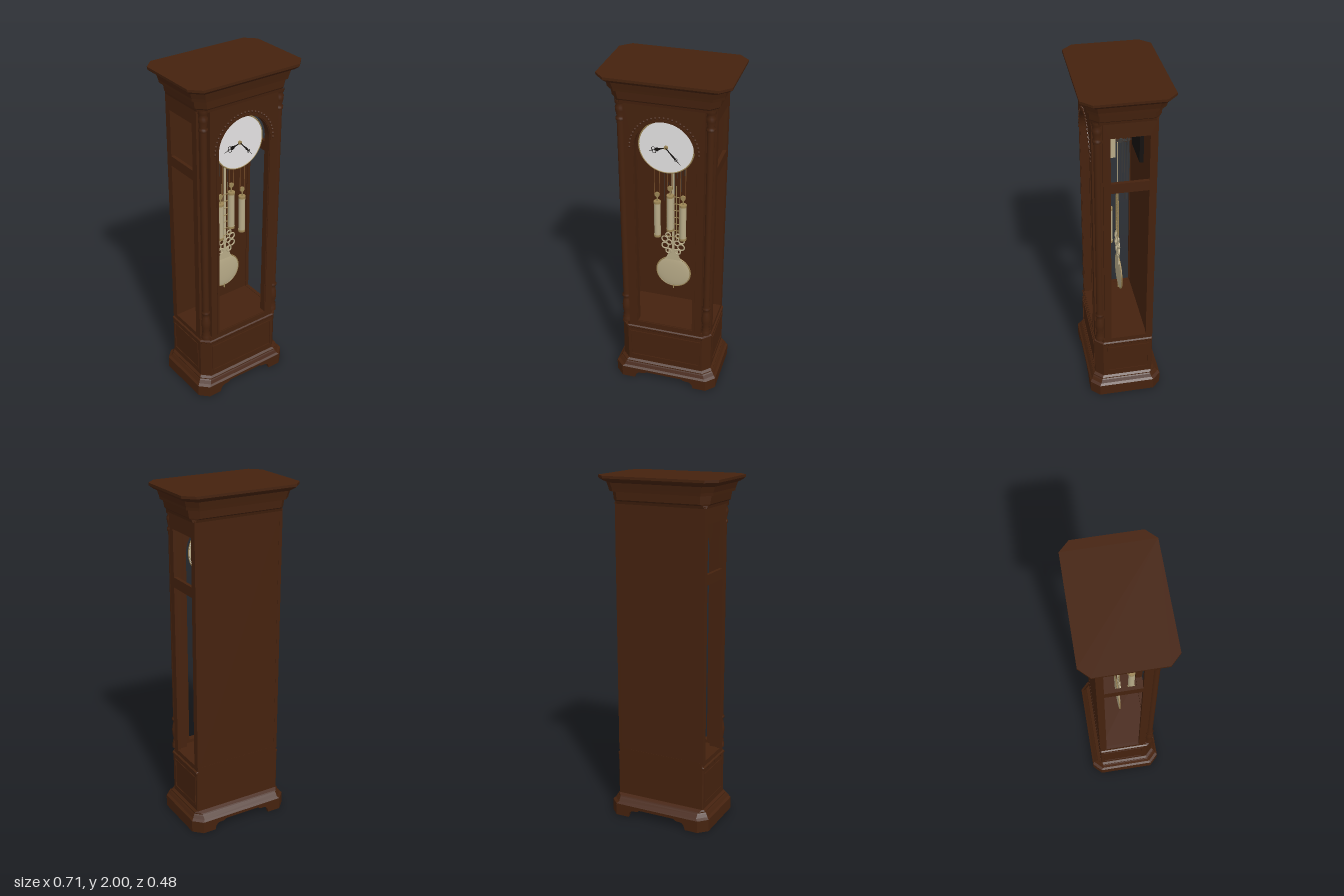
import * as THREE from 'three';
import { mergeGeometries } from 'three/addons/utils/BufferGeometryUtils.js';

const mat = (name, color) => Object.assign(new THREE.MeshStandardMaterial({ color }), { name });

export function createModel() {
  const wood = mat('dark walnut', 0x45220e);
  const brass = mat('pale brass', 0xb8ab88);
  const gold = mat('aged gold', 0x9c8656);
  const white = mat('dial white', 0xe4e2e3);
  const black = mat('black', 0x14110f);
  const steel = mat('dark steel', 0x3c3a38);
  const copper = mat('copper cable', 0x7a4f2a);

  const root = new THREE.Group();
  root.name = 'longcaseClock';
  const add = (name, geo, material, x = 0, y = 0, z = 0, parent = root) => {
    const m = new THREE.Mesh(geo, material);
    m.name = name;
    m.position.set(x, y, z);
    parent.add(m);
    return m;
  };
  // Box given by its limits
  const box = (name, m, x0, x1, y0, y1, z0, z1, parent) =>
    add(name, new THREE.BoxGeometry(x1 - x0, y1 - y0, z1 - z0), m,
      (x0 + x1) / 2, (y0 + y1) / 2, (z0 + z1) / 2, parent);
  const rod = (name, m, r, x, y0, y1, z, parent, sides = 8) =>
    add(name, new THREE.CylinderGeometry(r, r, y1 - y0, sides), m, x, (y0 + y1) / 2, z, parent);
  const extrude = (shape, depth, curveSegments = 24) =>
    new THREE.ExtrudeGeometry(shape, { depth, bevelEnabled: false, curveSegments });
  const rect = (C, x0, y0, x1, y1) => new C([[x0, y0], [x1, y0], [x1, y1], [x0, y1]].map(p => new THREE.Vector2(...p)));

  // Stack of chamfered rectangles: [y, halfWidth, front, back, frontChamfer, backChamfer]
  const moulding = (layers) => {
    const ring = ([y, x, f, b, c, d]) => [[x - c, f], [x, f - c], [x, d - b], [x - d, -b],
      [d - x, -b], [-x, d - b], [-x, f - c], [c - x, f]].map(p => [p[0], y, p[1]]);
    const rings = layers.map(ring), v = [];
    for (let i = 0; i + 1 < rings.length; i++) for (let k = 0; k < 8; k++) {
      const n = (k + 1) % 8, a = rings[i][k], b = rings[i][n], c = rings[i + 1][n], d = rings[i + 1][k];
      v.push(...a, ...b, ...c, ...a, ...c, ...d);
    }
    const lo = rings[0], hi = rings[rings.length - 1];
    for (let k = 1; k < 7; k++) {
      v.push(...lo[0], ...lo[k + 1], ...lo[k]);
      v.push(...hi[0], ...hi[k], ...hi[k + 1]);
    }
    const g = new THREE.BufferGeometry();
    g.setAttribute('position', new THREE.Float32BufferAttribute(v, 3));
    g.computeVertexNormals();
    return g;
  };

  // Cornice, plinth and base mouldings
  add('cornice', moulding([
    [1.845, 0.275, 0.18, 0.16, 0.04, 0.01], [1.86, 0.278, 0.182, 0.165, 0.04, 0.02],
    [1.868, 0.288, 0.187, 0.178, 0.045, 0.04], [1.912, 0.295, 0.19, 0.182, 0.045, 0.045],
    [1.914, 0.31, 0.2, 0.2, 0.05, 0.05], [1.93, 0.312, 0.203, 0.203, 0.05, 0.05],
    [1.962, 0.322, 0.21, 0.21, 0.052, 0.052], [1.968, 0.335, 0.222, 0.222, 0.054, 0.054],
    [1.978, 0.348, 0.235, 0.235, 0.056, 0.056], [1.986, 0.356, 0.242, 0.242, 0.057, 0.057],
    [2.0, 0.357, 0.242, 0.242, 0.057, 0.057]]), wood);
  add('plinth', moulding([
    [0.11, 0.275, 0.18, 0.16, 0.045, 0.005], [0.365, 0.275, 0.18, 0.16, 0.045, 0.005],
    [0.37, 0.279, 0.183, 0.16, 0.045, 0.005], [0.38, 0.279, 0.183, 0.16, 0.045, 0.005],
    [0.385, 0.27, 0.175, 0.16, 0.045, 0.005], [0.41, 0.27, 0.175, 0.16, 0.045, 0.005]]), wood);
  add('baseMoulding', moulding([
    [0.06, 0.315, 0.215, 0.215, 0.05, 0.05], [0.072, 0.315, 0.215, 0.215, 0.05, 0.05],
    [0.082, 0.303, 0.205, 0.205, 0.05, 0.05], [0.1, 0.293, 0.196, 0.19, 0.048, 0.04],
    [0.106, 0.288, 0.192, 0.184, 0.047, 0.035], [0.112, 0.288, 0.192, 0.18, 0.047, 0.03],
    [0.122, 0.276, 0.181, 0.161, 0.045, 0.006]]), wood);

  // Base skirt with shaped cut-outs front and back
  const skirt = new THREE.Shape();
  skirt.moveTo(-0.265, 0);
  skirt.lineTo(-0.185, 0);
  skirt.quadraticCurveTo(-0.18, 0.045, -0.145, 0.043);
  skirt.quadraticCurveTo(-0.118, 0.043, -0.115, 0.055);
  skirt.lineTo(0.115, 0.055);
  skirt.quadraticCurveTo(0.118, 0.043, 0.145, 0.043);
  skirt.quadraticCurveTo(0.18, 0.045, 0.185, 0);
  skirt.lineTo(0.265, 0);
  skirt.lineTo(0.265, 0.062);
  skirt.lineTo(-0.265, 0.062);
  add('frontSkirt', extrude(skirt, 0.02, 8), wood, 0, 0, 0.195);
  add('backSkirt', extrude(skirt, 0.02, 8), wood, 0, 0, -0.215);
  for (const s of [-1, 1]) {
    box('sideSkirt', wood, s * 0.305 - 0.01, s * 0.305 + 0.01, 0, 0.062, -0.165, 0.165);
    for (const t of [-1, 1]) {
      const c = add('cornerSkirt', new THREE.BoxGeometry(0.0707, 0.062, 0.02), wood,
        s * 0.283, 0.031, t * 0.183);
      c.rotation.y = s * t * Math.PI / 4;
    }
  }

  // Picture-frame beading around a panel, lying in the xy plane
  const frame = (w, h, t) => {
    const s = rect(THREE.Shape, -w / 2, -h / 2, w / 2, h / 2);
    s.holes.push(rect(THREE.Path, t - w / 2, t - h / 2, w / 2 - t, h / 2 - t));
    return extrude(s, 0.006);
  };
  add('plinthPanelBeading', frame(0.44, 0.19, 0.01), wood, 0, 0.25, 0.179);
  for (const s of [-1, 1])
    add('sidePanelBeading', frame(0.25, 0.19, 0.008), wood, s * 0.273, 0.25, -0.015).rotation.y = s * Math.PI / 2;

  // Arched opening path, grown by an offset
  const cy = 1.595;
  const arch = (C, o) => {
    const r = 0.165 + o, p = new C();
    p.moveTo(-r, 0.43 - o);
    p.lineTo(r, 0.43 - o);
    p.lineTo(r, cy);
    p.absarc(0, cy, r, 0, Math.PI, false);
    p.lineTo(-r, 0.43 - o);
    return p;
  };
  const door = rect(THREE.Shape, -0.22, 0.4, 0.22, 1.85);
  door.holes.push(arch(THREE.Path, 0));
  add('door', extrude(door, 0.038), wood, 0, 0, 0.138);
  const bead = arch(THREE.Shape, 0.016);
  bead.holes.push(arch(THREE.Path, 0.004));
  add('doorBeading', extrude(bead, 0.006), wood, 0, 0, 0.175);
  const beads = [];
  for (let i = 0; i <= 26; i++) {
    const a = Math.PI * i / 26;
    beads.push(new THREE.SphereGeometry(0.007, 8, 6).translate(Math.cos(a) * 0.19, cy + Math.sin(a) * 0.19, 0.177));
  }
  add('archBeads', mergeGeometries(beads), wood);

  // Case: back, ceiling, windowed sides, corner posts
  box('backPanel', wood, -0.265, 0.265, 0.38, 1.86, -0.159, -0.125);
  box('ceiling', wood, -0.255, 0.255, 1.79, 1.85, -0.13, 0.14);
  const side = rect(THREE.Shape, -0.16, 0.4, 0.125, 1.855);
  side.holes.push(rect(THREE.Path, -0.12, 0.413, 0.085, 1.432), rect(THREE.Path, -0.12, 1.49, 0.085, 1.76));
  const sideGeo = extrude(side, 0.02).rotateY(-Math.PI / 2);
  // Turned corner column profile: radius, height
  const profile = [[0.026, 0.4], [0.026, 0.425], [0.02, 0.432], [0.024, 0.445], [0.018, 0.455], [0.025, 0.49],
    [0.026, 0.52], [0.02, 0.56], [0.016, 0.575], [0.025, 0.582], [0.025, 0.594], [0.019, 0.602], [0.019, 1.73],
    [0.025, 1.737], [0.025, 1.75], [0.018, 1.758], [0.025, 1.79], [0.026, 1.81], [0.019, 1.826], [0.027, 1.834], [0.027, 1.855]]
    .map(p => new THREE.Vector2(...p));
  const columnGeo = new THREE.LatheGeometry(profile, 20);
  for (const s of [-1, 1]) {
    add('sideFrame', sideGeo, wood, s > 0 ? 0.27 : -0.25);
    box('cornerPost', wood, s * 0.228 - 0.028, s * 0.228 + 0.028, 0.4, 1.855, 0.1, 0.14);
    add('cornerColumn', columnGeo, wood, s * 0.244, 0, 0.15);
  }

  // Dial and hands
  const disc = (r, d) => new THREE.CylinderGeometry(r, r, d, 64).rotateX(Math.PI / 2);
  add('dialBack', disc(0.15, 0.006), brass, 0, cy, 0.123);
  add('dialFace', disc(0.152, 0.006), white, 0, cy, 0.129);
  add('dialRim', new THREE.TorusGeometry(0.152, 0.004, 8, 64), gold, 0, cy, 0.13);
  add('dialBoss', disc(0.011, 0.008), gold, 0, cy, 0.136);
  const hand = (name, len, w, angle, z) => {
    const s = new THREE.Shape([[0, -0.002], [len * 0.3, -0.003], [len * 0.5, -w], [len * 0.62, -0.002], [len, 0],
      [len * 0.62, 0.002], [len * 0.5, w], [len * 0.3, 0.003], [0, 0.002]].map(p => new THREE.Vector2(...p)));
    const g = new THREE.Group();
    g.name = name;
    g.position.set(0, cy, z);
    g.rotation.z = angle;
    root.add(g);
    add('blade', extrude(s, 0.002), black, 0, 0, 0, g);
    for (const t of [-1, 1])
      add('scroll', new THREE.TorusGeometry(w * 0.8, 0.0015, 6, 14), black, len * 0.65, t * w * 0.7, 0.001, g);
  };
  hand('hourHand', 0.108, 0.012, Math.PI + 0.29, 0.137);
  hand('minuteHand', 0.127, 0.006, -0.84, 0.141);

  // Movement and chimes
  box('movement', brass, -0.065, 0.065, 1.525, 1.672, 0.022, 0.12);
  box('chimeBoard', black, -0.1, 0.1, 1.5, 1.76, -0.124, -0.102);
  box('chimeBlock', steel, -0.07, 0.07, 1.722, 1.752, -0.102, -0.015);
  for (let i = 0; i < 8; i++)
    rod('chimeRod', steel, 0.0018, -0.056 + i * 0.016, 1.17 + ((i * 3) % 8) * 0.033, 1.73, -0.022 - (i % 5) * 0.011, root, 6);
  for (const [x, y] of [[-0.03, 1.645], [0.03, 1.61], [0, 1.585]]) {
    box('hammerArm', steel, x - 0.002, x + 0.002, y - 0.002, y + 0.002, -0.07, 0.025);
    box('hammer', steel, x - 0.006, x + 0.006, y - 0.008, y + 0.008, -0.022, -0.005);
  }

  // Weights on cables
  for (const [x, y] of [[-0.075, 0.985], [0, 1.035], [0.075, 0.985]]) {
    const g = new THREE.Group();
    g.name = 'weight';
    g.position.set(x, y, 0.061);
    root.add(g);
    rod('shell', brass, 0.0185, 0, 0.005, 0.225, 0, g, 24);
    for (const c of [0, 0.22]) rod('cap', gold, 0.0205, 0, c - 0.005, c + 0.008, 0, g, 24);
    rod('hook', gold, 0.004, 0, 0.225, 0.262, 0, g);
    add('pulley', disc(0.015, 0.008), gold, 0, 0.27, 0, g);
    for (const s of [-1, 1]) rod('cable', copper, 0.002, s * 0.015, 0.27, 1.53 - y, 0, g, 6);
  }

  // Pendulum: rod, lattice, scrollwork and bob
  const p = new THREE.Group();
  p.name = 'pendulum';
  root.add(p);
  box('rod', brass, -0.008, 0.008, 0.8, 1.58, -0.003, 0.001, p);
  for (const x of [-0.036, -0.02, 0.02, 0.036])
    rod('latticeRod', gold, 0.0025, x, 0.93, x * x < 0.001 ? 1.29 : 1.22, 0, p);
  for (let i = 0; i < 7; i++) box('crossbar', gold, -0.038, 0.038, 0.945 + i * 0.045, 0.949 + i * 0.045, -0.002, 0.002, p);
  for (const s of [-1, 1])
    for (const [x, y, r] of [[0.05, 0.925, 0.018], [0.048, 0.88, 0.02], [0.024, 0.905, 0.016], [0.028, 0.845, 0.016], [0.03, 0.955, 0.014]])
      add('scroll', new THREE.TorusGeometry(r, 0.0045, 6, 20), brass, s * x, y, 0, p);
  const neck = new THREE.Shape();
  neck.moveTo(-0.05, 0.785);
  neck.quadraticCurveTo(-0.025, 0.82, -0.03, 0.86);
  neck.lineTo(0.03, 0.86);
  neck.quadraticCurveTo(0.025, 0.82, 0.05, 0.785);
  add('neckPlate', extrude(neck, 0.005, 8), brass, 0, 0, -0.004, p);
  add('bob', new THREE.SphereGeometry(0.104, 40, 20).scale(1, 1, 0.1), brass, 0, 0.695, -0.008, p);
  add('bobRim', new THREE.TorusGeometry(0.103, 0.004, 8, 48), gold, 0, 0.695, -0.008, p);
  rod('bobTip', gold, 0.004, 0, 0.573, 0.6, -0.006, p);

  return root;
}
